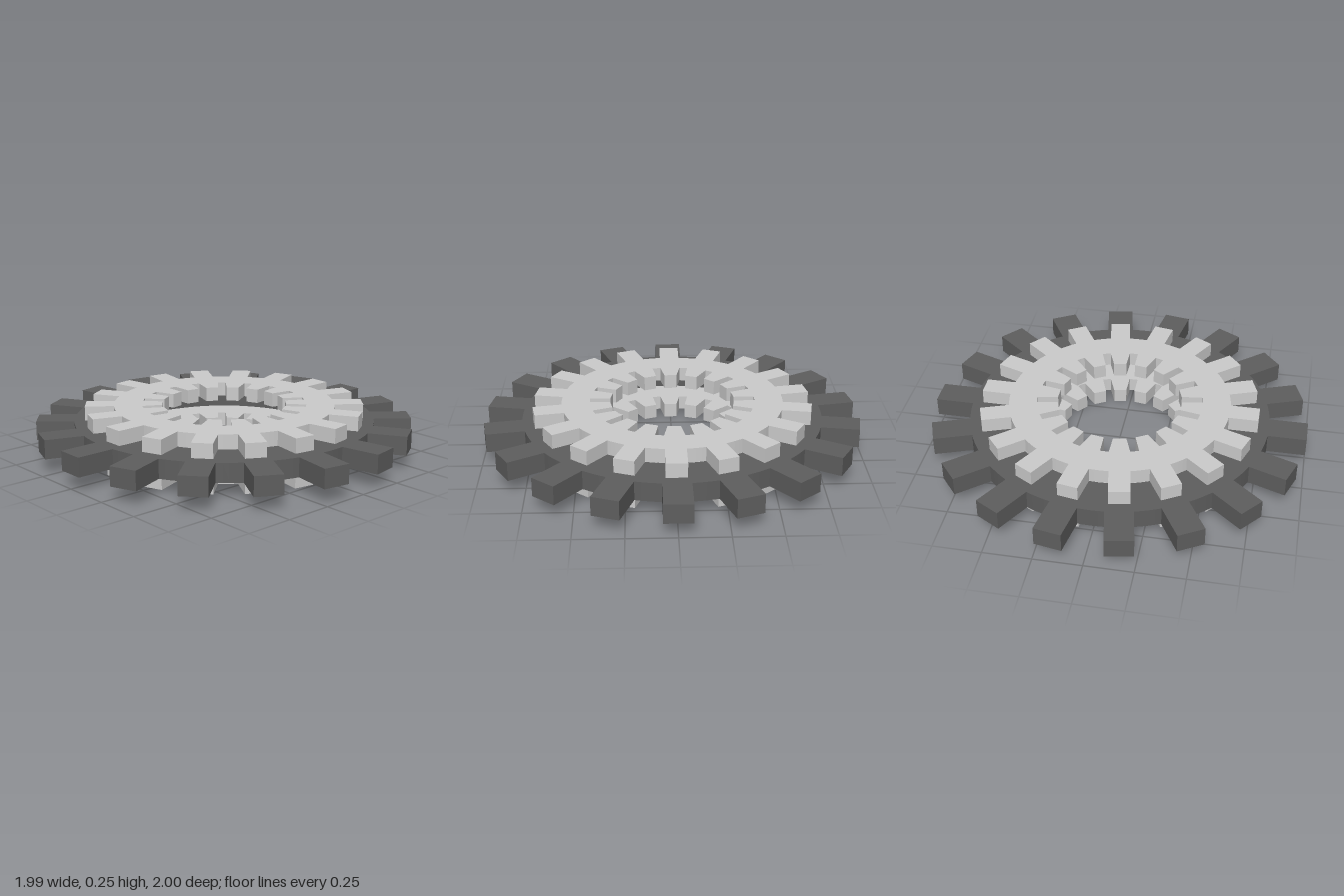
import * as THREE from 'three';

const TEETH = 18;
const STEP = (Math.PI * 2) / TEETH;

// Toothed outline: each tooth runs from the root circle to a flat tip
function toothedOutline(rootR, tipR, rootHalf, tipHalf, arcSegments) {
  const points = [];
  const rootAngle = Math.asin(rootHalf / rootR);
  const rootX = Math.sqrt(rootR * rootR - rootHalf * rootHalf);
  for (let i = 0; i < TEETH; i++) {
    const a = Math.PI / 2 + i * STEP;
    const c = Math.cos(a), s = Math.sin(a);
    const corners = [[rootX, -rootHalf], [tipR, -tipHalf], [tipR, tipHalf], [rootX, rootHalf]];
    for (const [r, t] of corners) points.push(new THREE.Vector2(r * c - t * s, r * s + t * c));
    // Arc of the root circle up to the next tooth
    for (let k = 1; k < arcSegments; k++) {
      const b = a + rootAngle + (STEP - 2 * rootAngle) * (k / arcSegments);
      points.push(new THREE.Vector2(rootR * Math.cos(b), rootR * Math.sin(b)));
    }
  }
  return points;
}

// Flat plate lying in the ground plane, with its underside at y
function plate(name, shape, y, height, material) {
  const geometry = new THREE.ExtrudeGeometry(shape, { depth: height, bevelEnabled: false, curveSegments: 36 });
  geometry.rotateX(-Math.PI / 2);
  const mesh = new THREE.Mesh(geometry, material);
  mesh.name = name;
  mesh.position.y = y;
  return mesh;
}

export function createModel() {
  const group = new THREE.Group();
  group.name = 'clutchPlates';
  const light = new THREE.MeshStandardMaterial({ color: 0xcccccc });
  const dark = new THREE.MeshStandardMaterial({ color: 0x5e5e5e });

  // Light plates: teeth on the rim and splines around the bore
  const steelShape = new THREE.Shape(toothedOutline(0.59, 0.742, 0.054, 0.054, 4));
  steelShape.holes.push(new THREE.Path(toothedOutline(0.44, 0.33, 0.054, 0.034, 2)));
  group.add(plate('lowerPlate', steelShape, 0, 0.077, light));
  group.add(plate('upperPlate', steelShape, 0.178, 0.077, light));

  // Dark middle ring with long outer teeth and a plain bore
  const ringShape = new THREE.Shape(toothedOutline(0.8, 1, 0.072, 0.072, 4));
  const bore = new THREE.Path();
  bore.absarc(0, 0, 0.592, 0, Math.PI * 2, true);
  ringShape.holes.push(bore);
  group.add(plate('middleToothedRing', ringShape, 0.077, 0.101, dark));

  return group;
}
